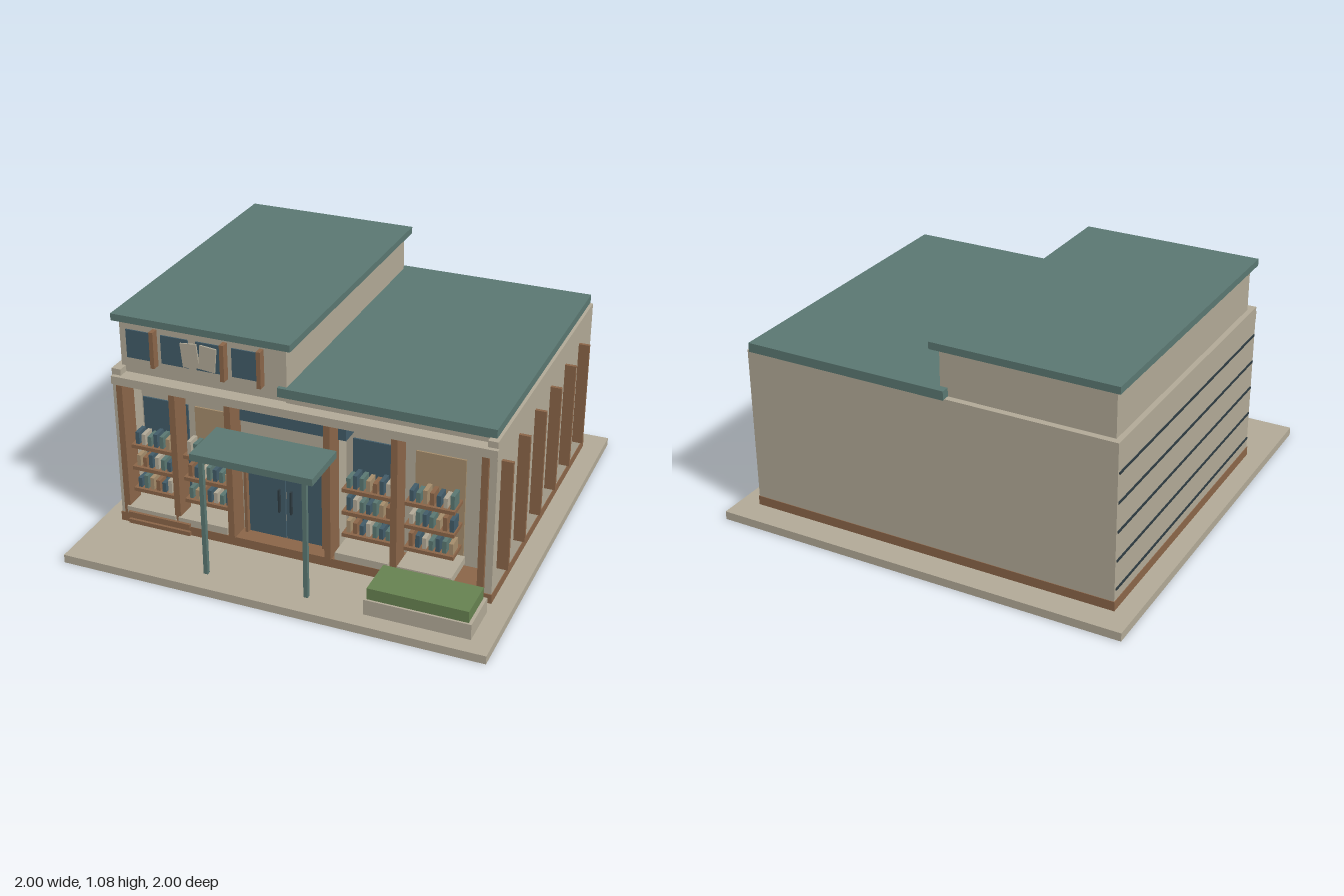
import * as THREE from 'three';

const material = (name, color) => {
  const m = new THREE.MeshStandardMaterial({ color });
  m.name = name;
  return m;
};

export function createModel() {
  const root = new THREE.Group();
  root.name = 'shop';
  const wall = material('warm stone', 0xb1a996);
  const teal = material('teal roof', 0x5a7771);
  const wood = material('brown wood', 0x8a6548);
  const glass = material('blue glass', 0x415b68);
  const tan = material('tan panel', 0xa48c6b);
  const plant = material('hedge green', 0x668150);
  const dark = material('dark metal', 0x2d3a40);

  // Box given by its limits on each axis
  const box = (name, mat, x0, x1, y0, y1, z0, z1, parent = root) => {
    const mesh = new THREE.Mesh(new THREE.BoxGeometry(x1 - x0, y1 - y0, z1 - z0), mat);
    mesh.position.set((x0 + x1) / 2, (y0 + y1) / 2, (z0 + z1) / 2);
    mesh.name = name;
    parent.add(mesh);
    return mesh;
  };

  // Ground slab, plinth and main shell with a recessed front
  box('pavement', wall, -1, 1, 0, 0.04, -1, 1);
  box('plinth', wood, -0.908, 0.903, 0.04, 0.085, -0.873, 0.635);
  box('mainBody', wall, -0.9, 0.89, 0.085, 0.83, -0.87, 0.46);
  box('sideWall', wall, -0.905, -0.86, 0.085, 0.83, -0.87, 0.63);
  box('sideWall', wall, 0.855, 0.9, 0.085, 0.83, -0.87, 0.63);
  box('frontHeader', wall, -0.86, 0.855, 0.755, 0.8, 0.46, 0.63);
  box('frontFascia', wall, -0.9, 0.905, 0.76, 0.8, 0.63, 0.65);
  box('roofUpstand', wall, -0.07, 0.85, 0.8, 0.83, 0.46, 0.59);

  // Lower roof, upper storey and its roof
  box('lowerRoof', teal, -0.107, 0.885, 0.827, 0.87, -0.88, 0.6);
  box('upperStorey', wall, -0.88, -0.07, 0.8, 1.05, -0.84, 0.58);
  box('upperRoof', teal, -0.91, -0.043, 1.05, 1.083, -0.88, 0.6);

  // Upper windows, fins and plain slanted panels
  for (let i = 0; i < 4; i++) {
    const x = -0.78 + i * 0.173;
    box('upperWindow', glass, x - 0.067, x + 0.067, 0.875, 1.012, 0.58, 0.586);
  }
  for (const x of [-0.703, -0.36, -0.185]) {
    box('upperFin', wood, x - 0.01, x + 0.01, 0.858, 1.033, 0.58, 0.618);
  }
  for (const s of [-1, 1]) {
    const panel = box('signPanel', wall, -0.525, -0.445, 0.885, 1.0, 0.588, 0.596);
    panel.position.x += s * 0.043;
    panel.rotation.z = -s * 0.1;
  }

  // Upright fins on one side, thin level strips on the other
  for (let i = 0; i < 6; i++) {
    const z = 0.565 - i * 0.242;
    box('sideFin', wood, 0.9, 0.952, 0.185, 0.715, z - 0.008, z + 0.008);
  }
  for (let i = 0; i < 5; i++) {
    const y = 0.14 + i * 0.1375;
    box('sideStrip', dark, -0.91, -0.905, y - 0.005, y + 0.005, -0.86, 0.62);
  }

  // Front pillars
  for (const x of [-0.865, -0.602, -0.33, 0.142, 0.452, 0.852]) {
    box('frontPillar', wood, x - 0.015, x + 0.015, 0.085, 0.757, 0.545, 0.646);
  }

  // Display bays: back panel, sill, shelves and books
  const bookColors = [glass, teal, tan, wood, glass, wall, teal];
  const bays = [[-0.85, glass], [-0.585, tan], [0.192, glass], [0.485, tan]];
  bays.forEach(([x, back], b) => {
    const bay = new THREE.Group();
    bay.name = 'displayBay';
    root.add(bay);
    box('bayPanel', back, x, x + 0.23, 0.135, 0.62, 0.46, 0.468, bay);
    box('baySill', wall, x - 0.01, x + 0.24, 0.102, 0.138, 0.468, 0.657, bay);
    for (let r = 0; r < 3; r++) {
      const y = 0.2 + r * 0.114;
      box('shelf', wood, x, x + 0.228, y - 0.009, y + 0.009, 0.49, 0.6, bay);
      for (let i = 0; i < 7; i++) {
        const bx = x + 0.016 + i * 0.031;
        const h = 0.048 + ((i * 3 + r + b) % 4) * 0.006;
        box('book', bookColors[(i + r * 2 + b) % 7], bx, bx + 0.019, y + 0.009, y + 0.009 + h, 0.52, 0.585, bay);
      }
    }
  });

  // Entrance: wall, transom, double door with frame and handles
  box('entranceWall', wall, -0.345, 0.157, 0.085, 0.65, 0.46, 0.545);
  box('transomWindow', glass, -0.39, 0.195, 0.648, 0.757, 0.46, 0.553);
  for (const s of [-1, 1]) {
    const c = -0.098;
    const leaf = box('doorLeaf', glass, c - 0.09, c + 0.09, 0.085, 0.502, 0.545, 0.554);
    leaf.position.x += s * 0.0925;
    const post = box('doorPost', wood, c - 0.007, c + 0.007, 0.085, 0.51, 0.545, 0.575);
    post.position.x += s * 0.191;
    const handle = box('doorHandle', dark, c - 0.004, c + 0.004, 0.222, 0.338, 0.554, 0.57);
    handle.position.x += s * 0.029;
  }

  // Entrance canopy on two slim posts
  box('canopy', teal, -0.382, 0.19, 0.615, 0.648, 0.648, 0.908);
  for (const x of [-0.338, 0.145]) {
    box('canopyPost', teal, x - 0.01, x + 0.01, 0.04, 0.615, 0.875, 0.895);
  }

  // Bench boards and hedge planter
  box('benchBoard', wood, -0.78, -0.47, 0.138, 0.158, 0.768, 0.781);
  box('benchBoard', wood, -0.78, -0.47, 0.178, 0.197, 0.768, 0.781);
  box('planter', wall, 0.422, 0.905, 0.04, 0.115, 0.703, 0.916);
  box('hedge', plant, 0.433, 0.89, 0.115, 0.17, 0.712, 0.906);

  return root;
}
